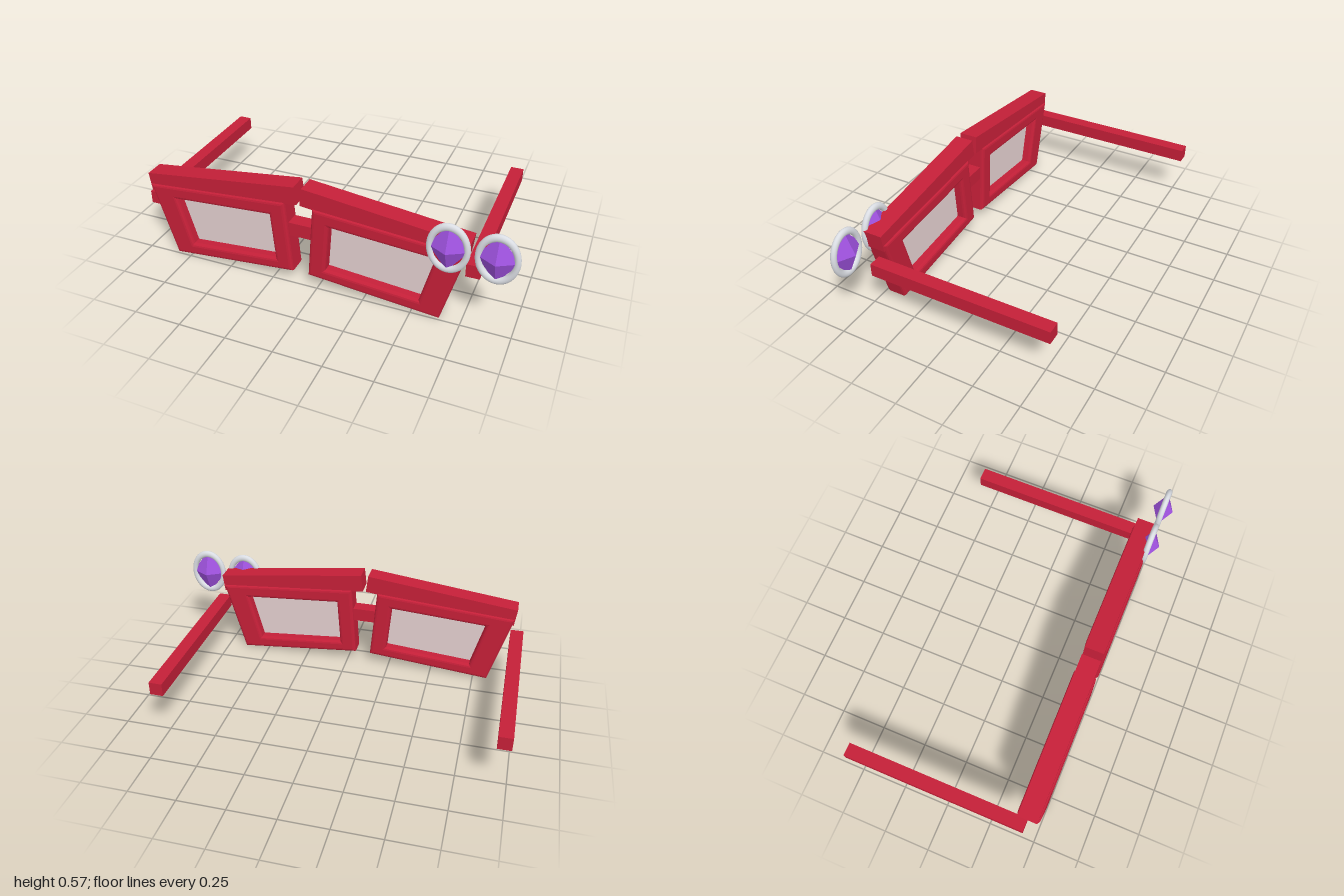
import * as THREE from 'three';

const CENTRE = -0.094; // symmetry plane of the spectacles
const FRAME_Z = 0.438;

const mat = (name, color) => {
  const m = new THREE.MeshStandardMaterial({ color });
  m.name = name;
  return m;
};

function add(parent, name, geometry, material, x = 0, y = 0, z = 0) {
  const mesh = new THREE.Mesh(geometry, material);
  mesh.name = name;
  mesh.position.set(x, y, z);
  parent.add(mesh);
  return mesh;
}

export function createModel() {
  const red = mat('red plastic', 0xc41f38);
  const tint = mat('pale lens', 0xe2cece);
  const silver = mat('silver', 0xdadde3);
  const purple = mat('purple gem', 0x9f52df);

  const model = new THREE.Group();
  model.name = 'spectacles';

  // Rim outline and opening, as distance from the centre plane and height
  const outer = [[0.851, 0.41], [0.737, 0], [0.042, 0.065], [0.074, 0.472]];
  const inner = [[0.7, 0.346], [0.63, 0.081], [0.139, 0.122], [0.16, 0.383]];
  const bevel = 0.018;

  for (const side of [-1, 1]) {
    const half = new THREE.Group();
    half.name = side > 0 ? 'leftSide' : 'rightSide';
    half.position.x = CENTRE;
    model.add(half);
    const points = (list) => list.map(([x, y]) => new THREE.Vector2(side * x, y));

    // Rounded rim; the opening winds against the outline
    const rim = new THREE.Shape(points(outer));
    rim.holes.push(new THREE.Path(points(inner).reverse()));
    const depth = 0.12 - 2 * bevel;
    add(half, 'rim', new THREE.ExtrudeGeometry(rim, {
      depth, bevelSize: bevel, bevelThickness: bevel, bevelOffset: -bevel, bevelSegments: 3,
    }), red, 0, 0, FRAME_Z - depth / 2);

    // Lens
    add(half, 'lens', new THREE.ExtrudeGeometry(new THREE.Shape(points(inner)), {
      depth: 0.008, bevelEnabled: false,
    }), tint, 0, 0, FRAME_Z - 0.004);

    // Slanted brow bar
    const brow = add(half, 'browBar', new THREE.BoxGeometry(0.845, 0.098, 0.102), red,
      side * 0.434, 0.471, FRAME_Z);
    brow.rotation.z = -side * 0.121;

    // Temple arm
    add(half, 'templeArm', new THREE.BoxGeometry(0.07, 0.071, 0.985), red,
      side * 0.871, 0.282, -0.0575);
  }

  // Nose bridge
  add(model, 'bridge', new THREE.BoxGeometry(0.15, 0.075, 0.075), red, CENTRE, 0.31, FRAME_Z - 0.003);

  // Oval jewels: a faceted gem inside a ring
  for (const x of [0.665, 0.894]) {
    const jewel = new THREE.Group();
    jewel.name = 'jewel';
    jewel.position.set(x, 0.428, 0.495);
    model.add(jewel);
    add(jewel, 'ring', new THREE.TorusGeometry(0.115, 0.02, 16, 48), silver).scale.set(0.78, 1, 0.8);
    add(jewel, 'gem', new THREE.OctahedronGeometry(1), purple).scale.set(0.1, 0.13, 0.056);
  }
  return model;
}
